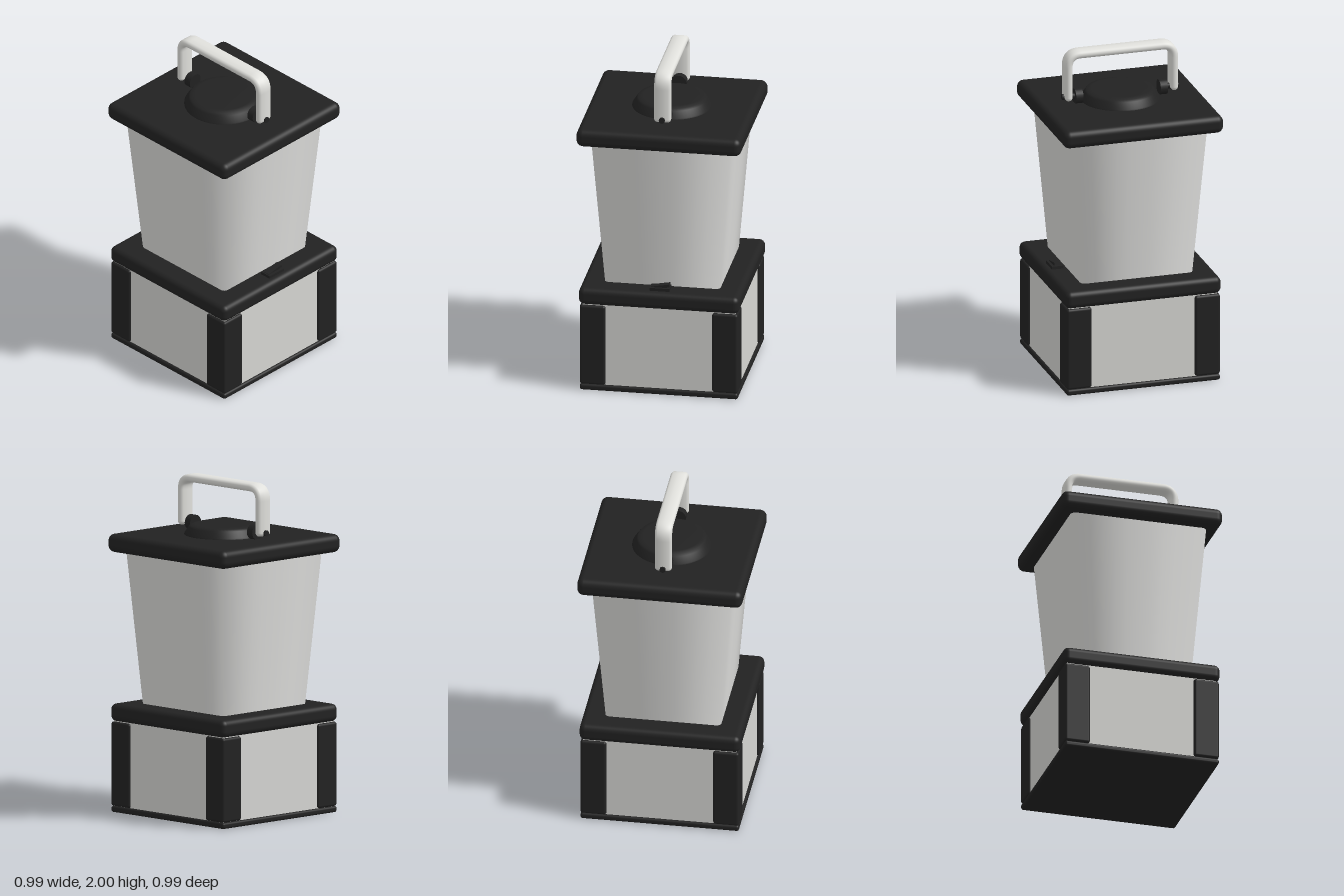
import * as THREE from 'three';
import { RoundedBoxGeometry } from 'three/addons/geometries/RoundedBoxGeometry.js';

const black = new THREE.MeshStandardMaterial({ color: 0x222222 });
black.name = 'black plastic';
const shade = new THREE.MeshStandardMaterial({ color: 0xdcdcda });
shade.name = 'frosted shade';
const panelGrey = new THREE.MeshStandardMaterial({ color: 0xd6d6d3 });
panelGrey.name = 'panel grey';
const handleGrey = new THREE.MeshStandardMaterial({ color: 0xe0e0dc });
handleGrey.name = 'handle grey';

function add(parent, name, geometry, material, x = 0, y = 0, z = 0) {
  const mesh = new THREE.Mesh(geometry, material);
  mesh.name = name;
  mesh.position.set(x, y, z);
  parent.add(mesh);
  return mesh;
}

// Square rounded block between two heights
function slab(parent, name, half, y0, y1, radius) {
  const g = new RoundedBoxGeometry(half * 2, y1 - y0, half * 2, 5, radius);
  return add(parent, name, g, black, 0, (y0 + y1) / 2, 0);
}

// Outline of a unit square with small rounded corners, subdivided along its sides
function squareOutline(radius) {
  const points = [];
  const c = 1 - radius;
  for (let k = 0; k < 4; k++) {
    const turn = k * Math.PI / 2;
    const local = [];
    for (let i = 0; i < 10; i++) local.push(new THREE.Vector2(1, c * (-1 + 0.2 * i)));
    for (let i = 0; i < 4; i++) {
      const a = i / 4 * Math.PI / 2;
      local.push(new THREE.Vector2(c + radius * Math.cos(a), c + radius * Math.sin(a)));
    }
    local.forEach(p => points.push(p.rotateAround(new THREE.Vector2(), turn)));
  }
  return points;
}

// Flared square shade with soft normals running round the corners
function shadeGeometry(half0, half1, y0, y1) {
  const outline = squareOutline(0.08);
  const position = [], normal = [], index = [];
  const n = outline.length;
  const slope = -(half1 - half0) / (y1 - y0);
  const soften = v => Math.sign(v) * Math.pow(Math.abs(v), 1.6);
  for (const [h, y] of [[half0, y0], [half1, y1]]) {
    for (const p of outline) {
      position.push(p.x * h, y, p.y * h);
      const v = new THREE.Vector2(soften(p.x), soften(p.y)).normalize();
      const w = new THREE.Vector3(v.x, slope, v.y).normalize();
      normal.push(w.x, w.y, w.z);
    }
  }
  for (let i = 0; i < n; i++) {
    const j = (i + 1) % n;
    index.push(i, n + i, j, j, n + i, n + j);
  }
  const g = new THREE.BufferGeometry();
  g.setAttribute('position', new THREE.Float32BufferAttribute(position, 3));
  g.setAttribute('normal', new THREE.Float32BufferAttribute(normal, 3));
  g.setIndex(index);
  return g;
}

// Pull the two z halves apart, turning round sections into wide rounded straps
function widen(g, amount) {
  const p = g.attributes.position;
  for (let i = 0; i < p.count; i++) {
    const z = p.getZ(i);
    if (Math.abs(z) > 1e-5) p.setZ(i, z + Math.sign(z) * amount);
  }
  return g;
}

export function createModel() {
  const model = new THREE.Group();
  model.name = 'lantern';

  // Base: foot plate, inset panels, corner posts, collar
  const base = new THREE.Group();
  base.name = 'base';
  model.add(base);
  slab(base, 'footPlate', 0.475, 0, 0.037, 0.014);
  add(base, 'sidePanels', new THREE.BoxGeometry(0.92, 0.54, 0.92), panelGrey, 0, 0.295, 0);
  for (const x of [-1, 1]) for (const z of [-1, 1]) {
    add(base, 'cornerPost', new RoundedBoxGeometry(0.155, 0.505, 0.155, 3, 0.015),
      black, x * 0.3975, 0.29, z * 0.3975);
  }
  slab(base, 'collar', 0.482, 0.545, 0.65, 0.035);

  // Rocker switch on the collar
  const power = new THREE.Group();
  power.name = 'powerSwitch';
  power.position.set(0.405, 0.65, 0);
  base.add(power);
  add(power, 'switchBase', new THREE.BoxGeometry(0.07, 0.02, 0.12), black, 0, 0.008, 0);
  const rocker = add(power, 'switchRocker', new THREE.BoxGeometry(0.04, 0.018, 0.11), black, 0, 0.022, -0.003);
  rocker.rotation.x = 0.18;

  // Light shade and lid
  add(model, 'shade', shadeGeometry(0.347, 0.42, 0.64, 1.58), shade);
  slab(model, 'lid', 0.495, 1.558, 1.667, 0.04);

  // Raised round cap
  const capProfile = [[0.237, 1.66], [0.235, 1.674], [0.21, 1.712], [0.2, 1.724], [0.17, 1.73], [0, 1.73]]
    .map(([r, y]) => new THREE.Vector2(r, y));
  add(model, 'cap', new THREE.LatheGeometry(capProfile, 64), black);

  // Handle strap following an upside-down U
  const handle = new THREE.Group();
  handle.name = 'handle';
  model.add(handle);
  const r = 0.0235, spread = 0.028, X = 0.327, top = 1.9765, foot = 1.713, bend = 0.075;
  const V = (x, y) => new THREE.Vector3(x, y, 0);
  const path = new THREE.CurvePath();
  path.add(new THREE.LineCurve3(V(-X, foot), V(-X, top - bend)));
  path.add(new THREE.QuadraticBezierCurve3(V(-X, top - bend), V(-X, top), V(-X + bend, top)));
  path.add(new THREE.LineCurve3(V(-X + bend, top), V(X - bend, top)));
  path.add(new THREE.QuadraticBezierCurve3(V(X - bend, top), V(X, top), V(X, top - bend)));
  path.add(new THREE.LineCurve3(V(X, top - bend), V(X, foot)));
  add(handle, 'handleStrap', widen(new THREE.TubeGeometry(path, 120, r, 20), spread), handleGrey);

  // Rounded strap ends, hinge lugs and pins
  for (const s of [-1, 1]) {
    add(handle, 'strapEnd', widen(new THREE.SphereGeometry(r, 20, 12), spread), handleGrey, s * X, foot, 0);
    const lug = add(handle, 'hingeLug', new THREE.CylinderGeometry(0.046, 0.046, 0.045, 20), black, s * 0.262, 1.708, 0);
    lug.rotation.z = Math.PI / 2;
    const pin = add(handle, 'hingePin', new THREE.CylinderGeometry(0.018, 0.018, 0.09, 16), black, s * 0.316, 1.71, 0);
    pin.rotation.z = Math.PI / 2;
  }
  return model;
}
